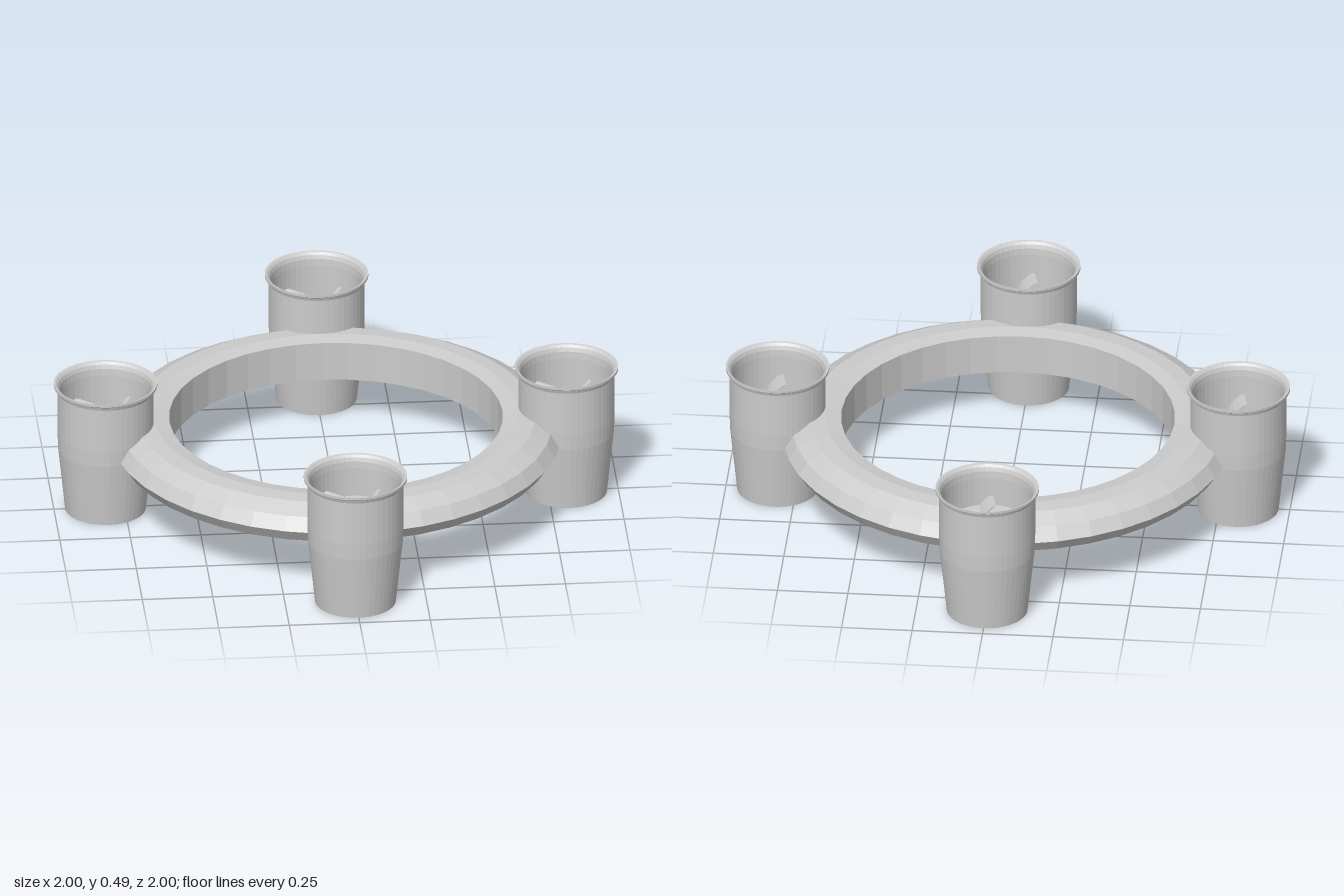
import * as THREE from 'three';

const material = new THREE.MeshStandardMaterial({ color: 0xcccccc, flatShading: true, side: THREE.DoubleSide });

function part(name, geometry) {
  const mesh = new THREE.Mesh(geometry, material);
  mesh.name = name;
  return mesh;
}

// Closed profile of [radius, height] pairs turned about the y axis
function turned(profile, segments) {
  const points = [...profile, profile[0]].map(([r, y]) => new THREE.Vector2(r, y));
  return new THREE.LatheGeometry(points, segments);
}

// Flat hub with a centre bore and four screw holes
function hubGeometry() {
  const shape = new THREE.Shape().absarc(0, 0, 0.09, 0, Math.PI * 2);
  const hole = (x, y, r) => shape.holes.push(new THREE.Path().absarc(x, y, r, 0, Math.PI * 2, true));
  hole(0, 0, 0.038);
  for (let i = 0; i < 4; i++) {
    const a = i * Math.PI / 2;
    hole(0.06 * Math.cos(a), 0.06 * Math.sin(a), 0.009);
  }
  const geometry = new THREE.ExtrudeGeometry(shape, { depth: 0.045, bevelEnabled: false, curveSegments: 24 });
  return geometry.rotateX(-Math.PI / 2).translate(0, 0.295, 0);
}

// Vane running out along x, curved through its height
function vaneGeometry() {
  const geometry = new THREE.BoxGeometry(0.085, 0.085, 0.012, 2, 6, 1);
  const p = geometry.attributes.position;
  for (let i = 0; i < p.count; i++) {
    const t = p.getY(i) / 0.085 + 0.5;
    p.setZ(i, p.getZ(i) + 0.055 * t * t - 0.02);
  }
  return geometry.translate(0.12, 0.325, 0);
}

function createPod() {
  const pod = new THREE.Group();
  pod.name = 'ductedFan';
  // Thin open duct: tapered below, straight above, flared lip
  pod.add(part('duct', turned([
    [0.143, 0], [0.168, 0.24], [0.17, 0.3], [0.17, 0.462], [0.174, 0.474], [0.183, 0.48], [0.183, 0.489],
    [0.175, 0.487], [0.167, 0.479], [0.162, 0.465], [0.16, 0.44], [0.16, 0.25], [0.138, 0],
  ], 48)));
  pod.add(part('hub', hubGeometry()));
  const vane = vaneGeometry();
  for (let i = 0; i < 5; i++) {
    const mesh = part('vane', vane);
    mesh.rotation.y = -0.1 + i * Math.PI * 2 / 5;
    pod.add(mesh);
  }
  return pod;
}

export function createModel() {
  const model = new THREE.Group();
  model.name = 'ringDrone';

  // Ring frame: upright inner wall, rounded outer edge
  model.add(part('ringFrame', turned([
    [0.59, 0.18], [0.64, 0.174], [0.7, 0.177], [0.765, 0.205], [0.795, 0.25],
    [0.765, 0.297], [0.705, 0.329], [0.645, 0.333], [0.59, 0.324],
  ], 40)));

  // Four ducted fans around the ring
  for (let i = 0; i < 4; i++) {
    const a = i * Math.PI / 2;
    const pod = createPod();
    pod.position.set(0.817 * Math.sin(a), 0, 0.817 * Math.cos(a));
    model.add(pod);
  }
  return model;
}
